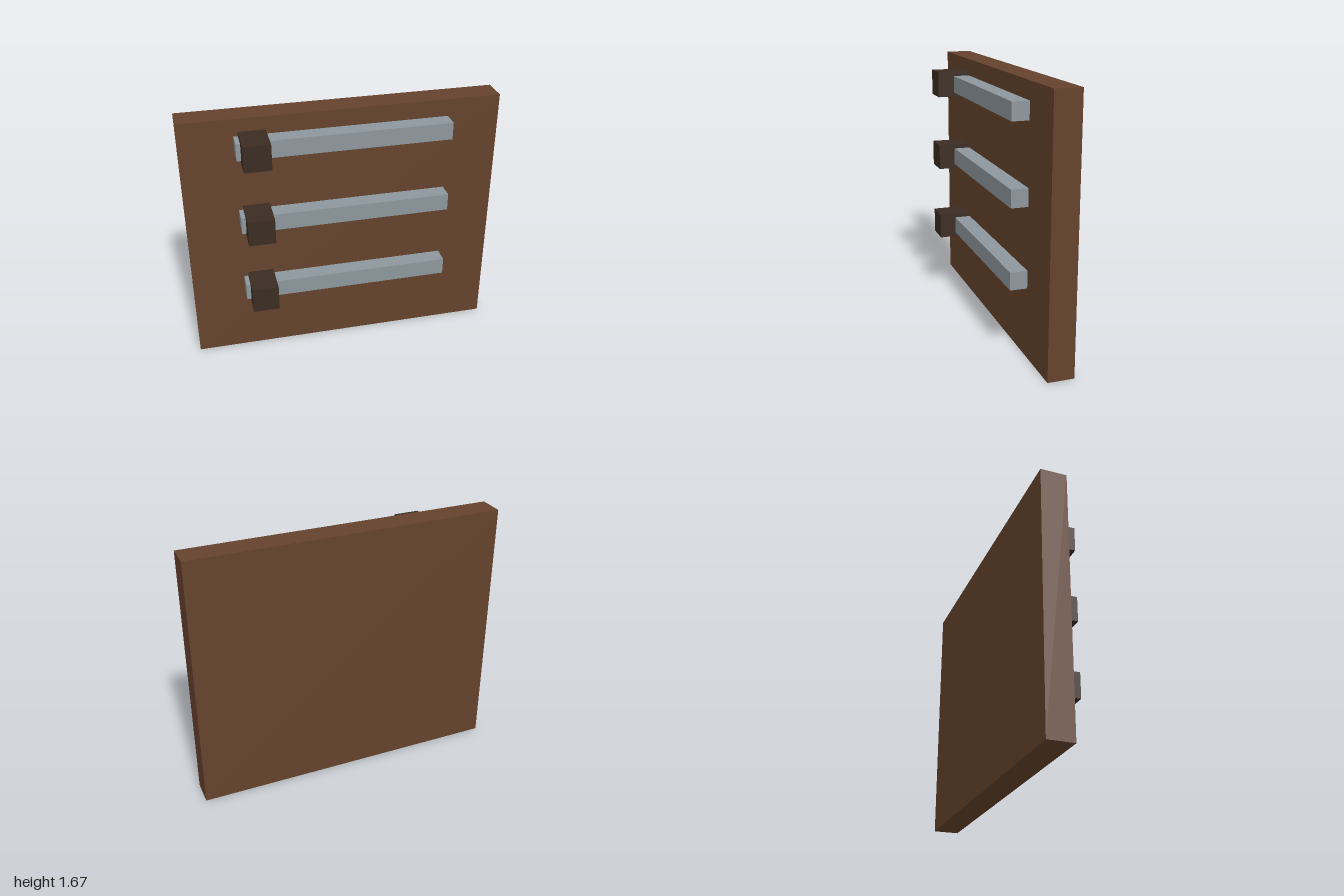
import * as THREE from 'three';

const material = (name, color) => {
  const m = new THREE.MeshStandardMaterial({ color });
  m.name = name;
  return m;
};

export function createModel() {
  const group = new THREE.Group();
  group.name = 'sliderPanel';
  const wood = material('brown wood', 0x65422d);
  const steel = material('grey steel', 0x8d979d);
  const dark = material('dark wood', 0x3b2c22);

  // Adds a box spanning depth z0 to z1
  const addBox = (name, mat, x, y, width, height, z0, z1) => {
    const mesh = new THREE.Mesh(new THREE.BoxGeometry(width, height, z1 - z0), mat);
    mesh.name = name;
    mesh.position.set(x, y, (z0 + z1) / 2);
    group.add(mesh);
  };

  // Upright board
  const boardFront = -0.024;
  addBox('board', wood, 0, 0.8333, 2, 1.6667, -0.19, boardFront);

  // Three rails, each with a block near its right end
  ['lower', 'middle', 'upper'].forEach((level, i) => {
    const y = 0.5 + i * 0.5;
    addBox(`${level}Rail`, steel, 0, y, 1.3333, 0.111, boardFront, 0.083);
    addBox(`${level}Block`, dark, -0.5556, y, 0.1667, 0.1667, boardFront, 0.19);
  });

  return group;
}
